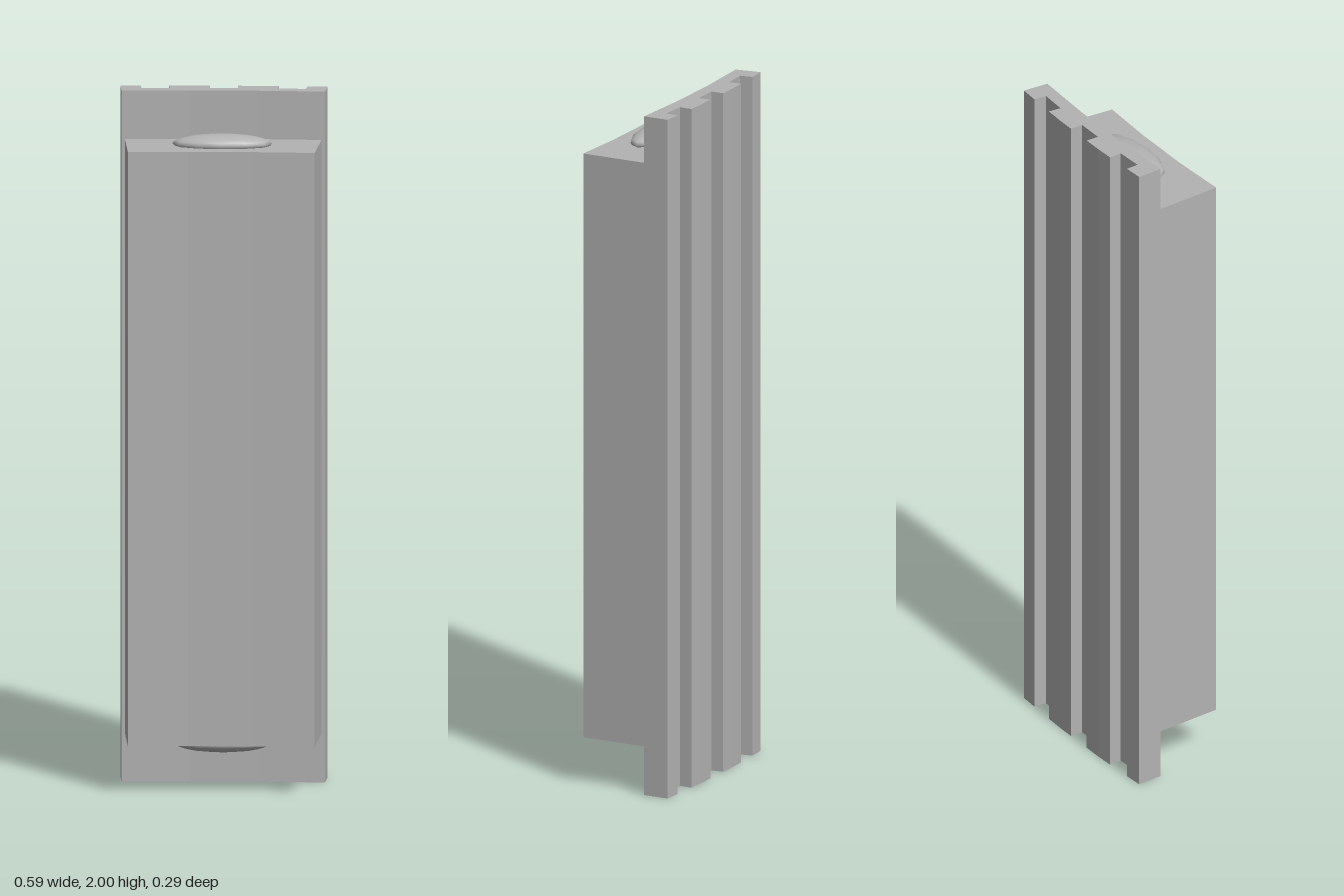
import * as THREE from 'three';

const steel = new THREE.MeshStandardMaterial({ color: 0xb3b3b3 });
steel.name = 'plain grey';

// Mirrors a half outline of [x, z] points across x = 0 and extrudes it upwards
function prism(name, half, y0, y1) {
  const outline = [...half, ...half.map(([x, z]) => [-x, z]).reverse()];
  const shape = new THREE.Shape(outline.map(([x, z]) => new THREE.Vector2(x, -z)));
  const geometry = new THREE.ExtrudeGeometry(shape, { depth: y1 - y0, bevelEnabled: false });
  geometry.rotateX(-Math.PI / 2).translate(0, y0, 0);
  const mesh = new THREE.Mesh(geometry, steel);
  mesh.name = name;
  return mesh;
}

export function createModel() {
  const group = new THREE.Group();
  group.name = 'curvedPad';

  // Backing plate, gently curved, with three grooves down the rear
  group.add(prism('backingPlate', [
    [0.095, -0.07], [0.29, -0.061], [0.295, -0.138], [0.237, -0.141],
    [0.234, -0.103], [0.154, -0.107], [0.157, -0.145], [0.098, -0.147],
    [0.04, -0.147], [0.04, -0.109],
  ], 0, 2));

  // Thick front block with a shallow concave face
  group.add(prism('frontBlock', [
    [0.095, 0.137], [0.266, 0.145], [0.28, -0.061], [0.095, -0.07],
  ], 0.14, 1.86));

  // Low oval buttons on both ends of the block
  for (const [name, y] of [['topButton', 1.867], ['bottomButton', 0.133]]) {
    const button = new THREE.Mesh(new THREE.SphereGeometry(1, 12, 10), steel);
    button.name = name;
    button.scale.set(0.142, 0.027, 0.057);
    button.position.set(0, y, 0.038);
    group.add(button);
  }
  return group;
}
